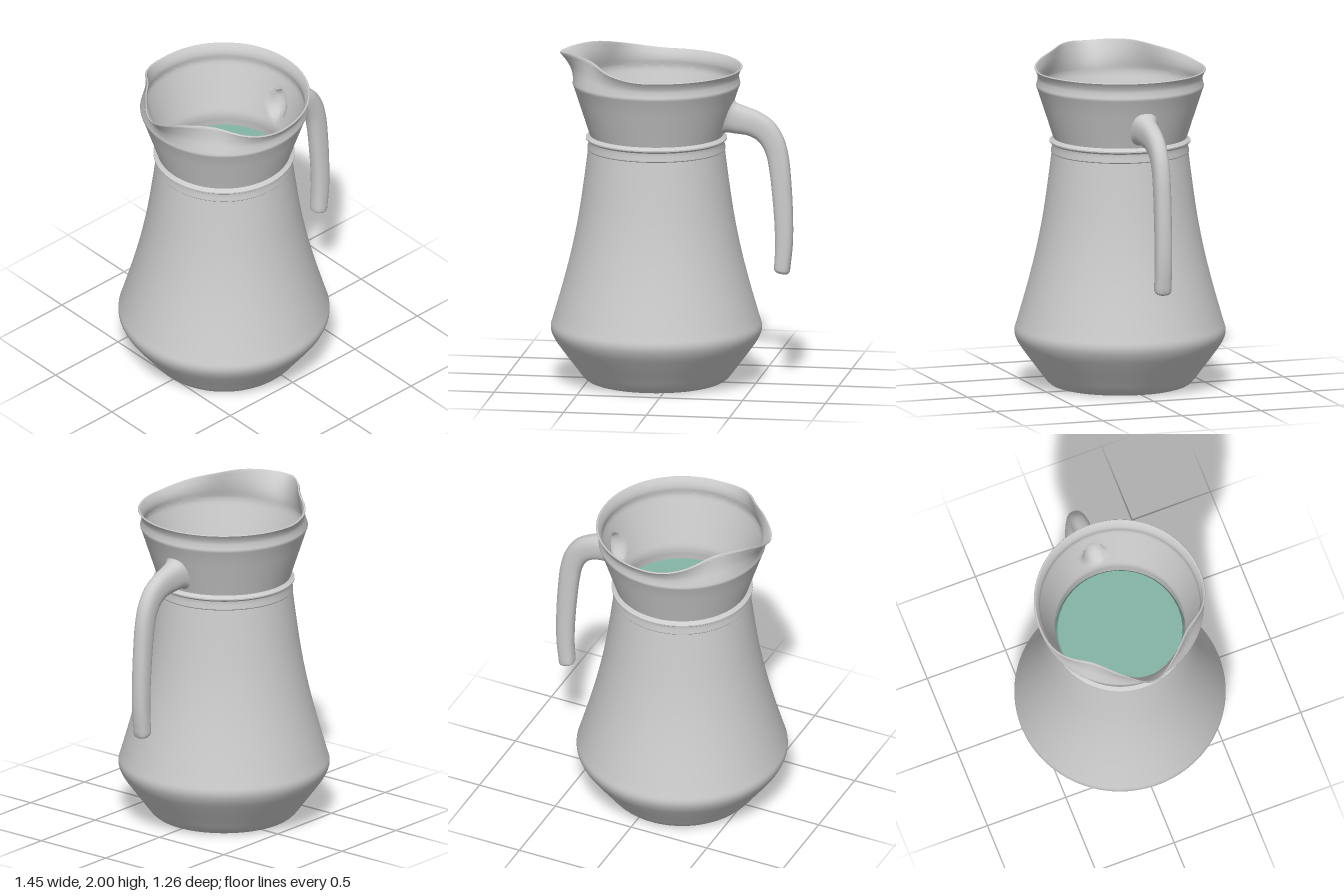
import * as THREE from 'three';
import { mergeVertices, toCreasedNormals } from 'three/addons/utils/BufferGeometryUtils.js';

const AXIS_X = -0.1; // the jug body is turned about this axis
const SEGMENTS = 128;
const pts = (list) => list.map(([x, y]) => new THREE.Vector2(x, y));
const smooth = (list, n) => new THREE.SplineCurve(pts(list)).getPoints(n);
const bell = (a, centre, width) => Math.exp(-(((a - centre) / width) ** 2));

// Joins vertices, then keeps only the strong edges sharp
function finish(geometry, crease) {
  geometry.deleteAttribute('uv');
  geometry.deleteAttribute('normal');
  return toCreasedNormals(mergeVertices(geometry, 1e-5), crease);
}

// Lip outline as a function of the angle (degrees) away from the spout
const lipOut = (a) => 0.07 * bell(a, 0, 14) - 0.055 * bell(a, 42, 19);
const lipUp = (a) =>
  0.088 * (1 - THREE.MathUtils.smoothstep(a, 25, 92)) - 0.018 * bell(a, 0, 12);

function bodyGeometry() {
  const outer = [
    ...pts([[0, 0], [0.37, 0]]),
    ...smooth([[0.39, 0.002], [0.415, 0.012], [0.445, 0.04], [0.49, 0.1], [0.565, 0.2],
      [0.612, 0.27], [0.63, 0.33], [0.612, 0.4], [0.555, 0.6], [0.505, 0.8],
      [0.465, 1.0], [0.435, 1.2], [0.408, 1.41]], 44),
    // collar rings
    ...pts([[0.412, 1.415], [0.412, 1.425], [0.406, 1.445], [0.408, 1.465], [0.421, 1.476],
      [0.421, 1.484], [0.407, 1.492], [0.398, 1.5]]),
    // flared neck and lip band
    ...pts([[0.43, 1.6], [0.463, 1.7], [0.495, 1.798], [0.499, 1.806]]),
    ...smooth([[0.5, 1.815], [0.494, 1.84], [0.493, 1.865], [0.503, 1.892], [0.514, 1.91]], 12),
  ];
  const flare = [];
  for (let i = 0; i <= 18; i++) {
    flare.push(new THREE.Vector2(0.48 - 0.005 * i, 1.795 - (0.295 * i) / 18));
  }
  const inner = [
    ...pts([[0.511, 1.915], [0.504, 1.914]]),
    ...smooth([[0.499, 1.908], [0.484, 1.88], [0.478, 1.85], [0.483, 1.82]], 10),
    ...flare,
    ...smooth([[0.386, 1.48], [0.386, 1.45], [0.392, 1.41], [0.42, 1.2], [0.45, 1.0],
      [0.49, 0.8], [0.54, 0.6], [0.6, 0.38], [0.6, 0.29], [0.55, 0.2], [0.43, 0.06]], 30),
    ...pts([[0.39, 0.03], [0, 0.03]]),
  ];
  const profile = [...outer, ...inner];
  const geometry = new THREE.LatheGeometry(profile, SEGMENTS, Math.PI / 2);
  const p = geometry.attributes.position;
  for (let i = 0; i < p.count; i++) {
    let x = p.getX(i), y = p.getY(i), z = p.getZ(i);
    // draw the lip out into a spout
    if (y > 1.82) {
      const t = (y - 1.82) / 0.095;
      const angle = THREE.MathUtils.radToDeg(Math.abs(Math.atan2(z, -x)));
      const r = Math.hypot(x, z);
      const k = 1 + (lipOut(angle) * t ** 1.4) / r;
      x *= k;
      z *= k;
      y += lipUp(angle) * t;
    }
    // dimple on the inner wall behind the handle
    if (i % profile.length >= outer.length && x > 0) {
      const d = 1 - ((y - 1.62) / 0.1) ** 2 - (z / 0.075) ** 2;
      if (d > 0) x += 0.06 * Math.sqrt(d) * Math.min(1, d * 2);
    }
    p.setXYZ(i, x, y, z);
  }
  return finish(geometry, 0.65);
}

// Loft of rounded sections between the handle's outer and inner edges
function handleGeometry() {
  // outer x, outer y, inner x, inner y, half width
  const stations = [
    [0.362, 1.73, 0.288, 1.505, 0.085],
    [0.378, 1.708, 0.32, 1.524, 0.074],
    [0.42, 1.69, 0.38, 1.52, 0.062],
    [0.51, 1.658, 0.465, 1.507, 0.054],
    [0.6, 1.602, 0.525, 1.468, 0.051],
    [0.663, 1.51, 0.562, 1.4, 0.05],
    [0.695, 1.4, 0.583, 1.3, 0.05],
    [0.714, 1.22, 0.6, 1.15, 0.05],
    [0.724, 1.0, 0.614, 0.97, 0.05],
    [0.722, 0.85, 0.617, 0.82, 0.05],
    [0.705, 0.69, 0.611, 0.71, 0.05],
  ];
  const along = (a, b) => new THREE.CatmullRomCurve3(
    stations.map((s) => new THREE.Vector3(s[a], s[b], s[4])));
  const outer = along(0, 1), inner = along(2, 3);
  const rows = 60, sides = 32, cap = 6;
  const position = [], index = [];
  for (let i = 0; i <= rows + cap; i++) {
    const u = Math.min(1, i / rows);
    const o = outer.getPoint(u), n = inner.getPoint(u);
    const q = (Math.max(0, i - rows) / cap) * (Math.PI / 2); // rounded end
    const shrink = Math.cos(q) ** 0.6, drop = 0.025 * Math.sin(q);
    for (let j = 0; j < sides; j++) {
      const a = (j / sides) * Math.PI * 2;
      const c = Math.sign(Math.cos(a)) * Math.abs(Math.cos(a)) ** 0.8 * shrink;
      const s = Math.sign(Math.sin(a)) * Math.abs(Math.sin(a)) ** 0.8 * shrink;
      position.push(
        (o.x + n.x) / 2 + (c * (o.x - n.x)) / 2 - drop * 0.2,
        (o.y + n.y) / 2 + (c * (o.y - n.y)) / 2 - drop,
        s * o.z);
      if (i < rows + cap) {
        const k = (j + 1) % sides;
        const A = i * sides + j, B = i * sides + k;
        index.push(A, B, A + sides, B, B + sides, A + sides);
      }
    }
  }
  const geometry = new THREE.BufferGeometry();
  geometry.setAttribute('position', new THREE.Float32BufferAttribute(position, 3));
  geometry.setIndex(index);
  return finish(geometry, 1.0);
}

export function createModel() {
  const model = new THREE.Group();
  model.name = 'jug';
  const grey = new THREE.MeshStandardMaterial({ color: 0xcccccc });
  const green = new THREE.MeshStandardMaterial({ color: 0x84b5a5 });
  const add = (name, geometry, material, x) => {
    const mesh = new THREE.Mesh(geometry, material);
    mesh.name = name;
    mesh.position.x = x;
    model.add(mesh);
  };

  add('body', bodyGeometry(), grey, AXIS_X);
  add('handle', handleGeometry(), grey, 0);

  // liquid filling the jug up to the collar
  const liquid = new THREE.LatheGeometry(pts([
    [0, 0.04], [0.39, 0.04], [0.54, 0.2], [0.59, 0.29], [0.59, 0.38], [0.53, 0.6],
    [0.48, 0.8], [0.44, 1.0], [0.41, 1.2], [0.387, 1.38], [0.372, 1.41], [0, 1.41],
  ]), 40);
  add('liquid', finish(liquid, 0.5), green, AXIS_X);
  return model;
}
